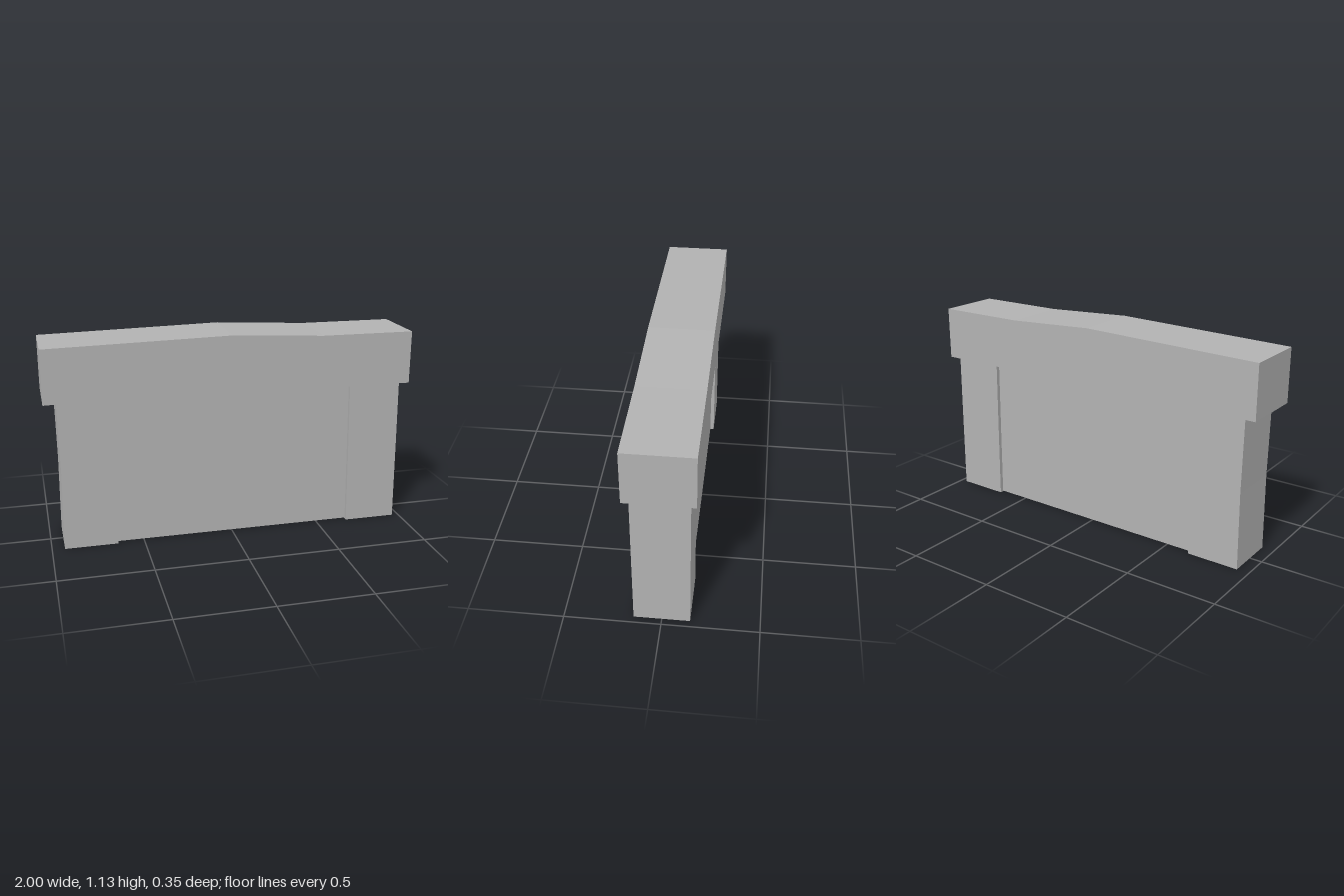
import * as THREE from 'three';

// Extrude an outline in the xy plane, centred on z = 0
function slab(name, points, depth, material) {
  const shape = new THREE.Shape(points.map(([x, y]) => new THREE.Vector2(x, y)));
  const geometry = new THREE.ExtrudeGeometry(shape, { depth, bevelEnabled: false });
  geometry.translate(0, 0, -depth / 2);
  const mesh = new THREE.Mesh(geometry, material);
  mesh.name = name;
  return mesh;
}

export function createModel() {
  const group = new THREE.Group();
  group.name = 'stoneWall';
  const stone = new THREE.MeshStandardMaterial({ color: 0xb2b2b2 });
  stone.name = 'grey stone';

  // Slightly crooked capstone: one sagging line, offset upward for the top
  const line = [[-1, 0.82], [-0.5, 0.83], [-0.01, 0.84], [0.49, 0.812], [1, 0.81]];
  const thickness = 0.29;
  const top = line.map(([x, y]) => [x, y + thickness]).reverse();
  group.add(slab('capstone', [...line, ...top], 0.35, stone));

  // Gently bowed end pillars, tucked into the capstone
  group.add(slab('rightPillar', [
    [-0.932, 0], [-0.643, 0], [-0.637, 0.42], [-0.642, 0.85], [-0.932, 0.85], [-0.927, 0.42],
  ], 0.29, stone));
  group.add(slab('leftPillar', [
    [0.676, 0], [0.964, 0], [0.96, 0.42], [0.955, 0.83], [0.665, 0.83], [0.671, 0.42],
  ], 0.29, stone));

  // Recessed panel between the pillars
  group.add(slab('wallPanel', [
    [-0.66, 0.004], [0.69, 0.004], [0.69, 0.84], [-0.01, 0.86], [-0.66, 0.85],
  ], 0.248, stone));

  return group;
}
